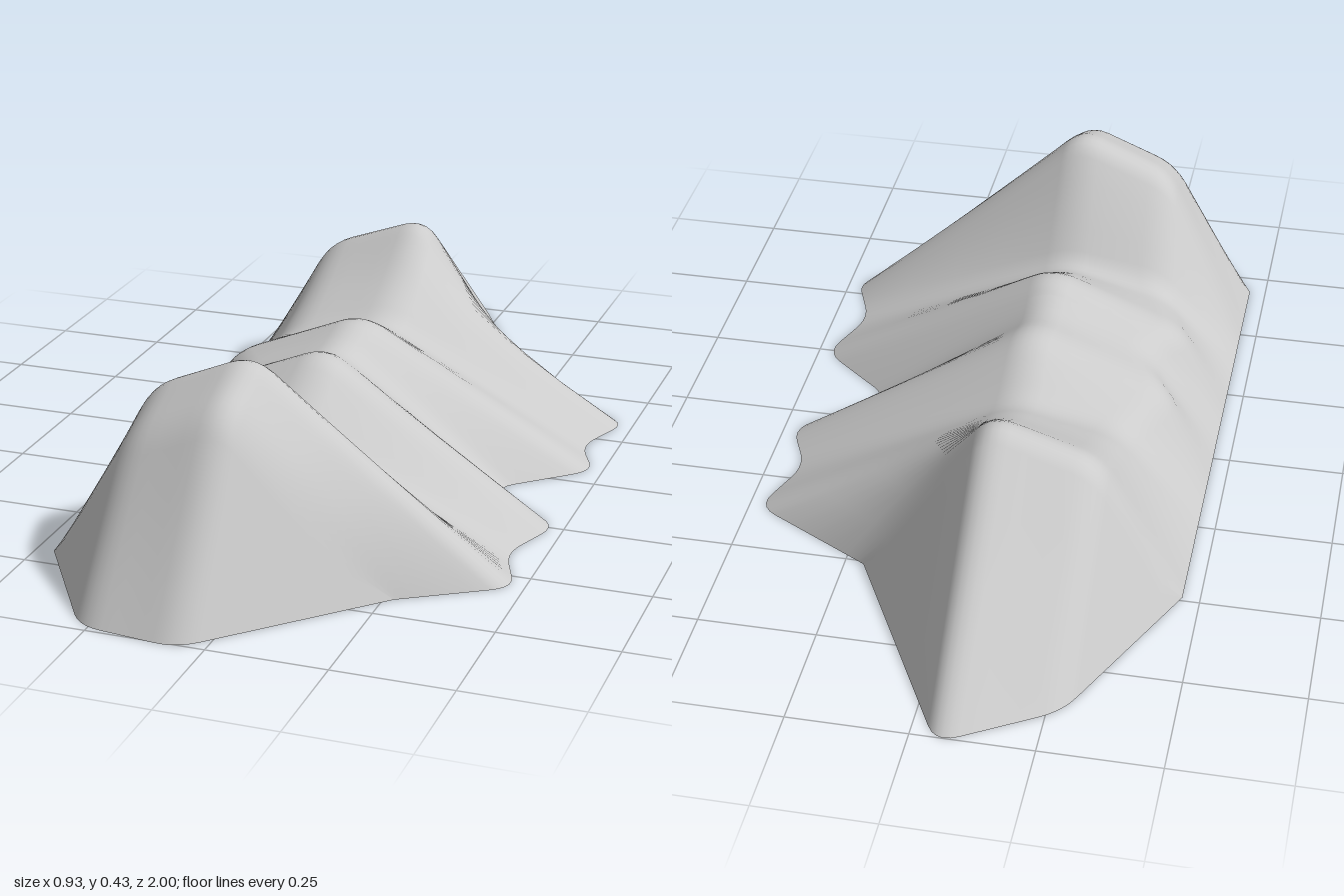
import * as THREE from 'three';
import { mergeVertices } from 'three/addons/utils/BufferGeometryUtils.js';

// Polyline with filleted inner corners and subdivided straight spans
function roundedLine(points, radius) {
  const out = [points[0].clone()];
  const span = (to) => {
    const from = out[out.length - 1].clone();
    for (let i = 1; i <= 4; i++) out.push(from.clone().lerp(to, i / 4));
  };
  const cut = (corner, toward) => {
    const length = corner.distanceTo(toward);
    return corner.clone().lerp(toward, length > 0 ? Math.min(0.45, radius / length) : 0);
  };
  for (let i = 1; i < points.length - 1; i++) {
    const start = cut(points[i], points[i - 1]);
    const end = cut(points[i], points[i + 1]);
    span(start);
    const curve = new THREE.QuadraticBezierCurve3(start, points[i], end);
    for (let k = 1; k <= 5; k++) out.push(curve.getPoint(k / 5));
  }
  span(points[points.length - 1]);
  return out;
}

// Cross-sections, front to back:
// left foot z | shoulder x, y | crest y | shoulder z, crest z | right foot x, z
const sections = [
  [0.69, -0.27, 0, 0, 0.985, 1.01, 0.27, 0.68],
  [0.69, -0.26, 0.305, 0.39, 0.755, 0.755, 0.27, 0.68],
  [0.53, -0.265, 0.37, 0.46, 0.59, 0.59, 0.48, 0.55],
  [0.39, -0.28, 0.17, 0.2, 0.39, 0.395, 0.42, 0.4],
  [0.22, -0.36, 0.19, 0.325, 0.21, 0.2, 0.48, 0.24],
  [0.09, -0.28, 0.21, 0.28, 0.09, 0.1, 0.3, 0.09],
  [-0.04, -0.36, 0.19, 0.32, -0.03, -0.04, 0.48, -0.07],
  [-0.2, -0.28, 0.19, 0.235, -0.2, -0.2, 0.42, -0.2],
  [-0.34, -0.28, 0.25, 0.305, -0.34, -0.34, 0.48, -0.36],
  [-0.49, -0.28, 0.33, 0.41, -0.49, -0.49, 0.21, -0.51],
  [-0.49, -0.28, 0, 0, -0.88, -1.015, 0.21, -0.51],
];

function ridgeGeometry() {
  const V = (x, y, z) => new THREE.Vector3(x, y, z);
  const profiles = sections.map(([lz, sx, sy, cy, sz, cz, rx, rz]) => roundedLine([
    V(-0.463, 0, lz), V(sx, sy, sz), V(-0.055, cy, cz), V(rx, 0, rz),
  ], 0.05));

  // Round the ridges and valleys along the length as well
  const columns = profiles[0].map((_, i) => roundedLine(profiles.map((p) => p[i]), 0.05));
  const rows = columns[0].length;
  const positions = columns.flatMap((column) => column.flatMap((p) => p.toArray()));
  const index = [];
  for (let i = 0; i < columns.length - 1; i++) {
    for (let j = 0; j < rows - 1; j++) {
      const a = i * rows + j, b = a + rows;
      index.push(a, b, a + 1, b, b + 1, a + 1);
    }
  }
  let geometry = new THREE.BufferGeometry();
  geometry.setAttribute('position', new THREE.Float32BufferAttribute(positions, 3));
  geometry.setIndex(index);
  geometry = mergeVertices(geometry, 1e-4);
  geometry.computeVertexNormals();
  return geometry;
}

export function createModel() {
  const group = new THREE.Group();
  group.name = 'mountain';
  const material = new THREE.MeshStandardMaterial({ color: 0xcccccc, side: THREE.DoubleSide });
  // Mountain shell, open underneath
  const ridge = new THREE.Mesh(ridgeGeometry(), material);
  ridge.name = 'mountainRidge';
  group.add(ridge);
  return group;
}
